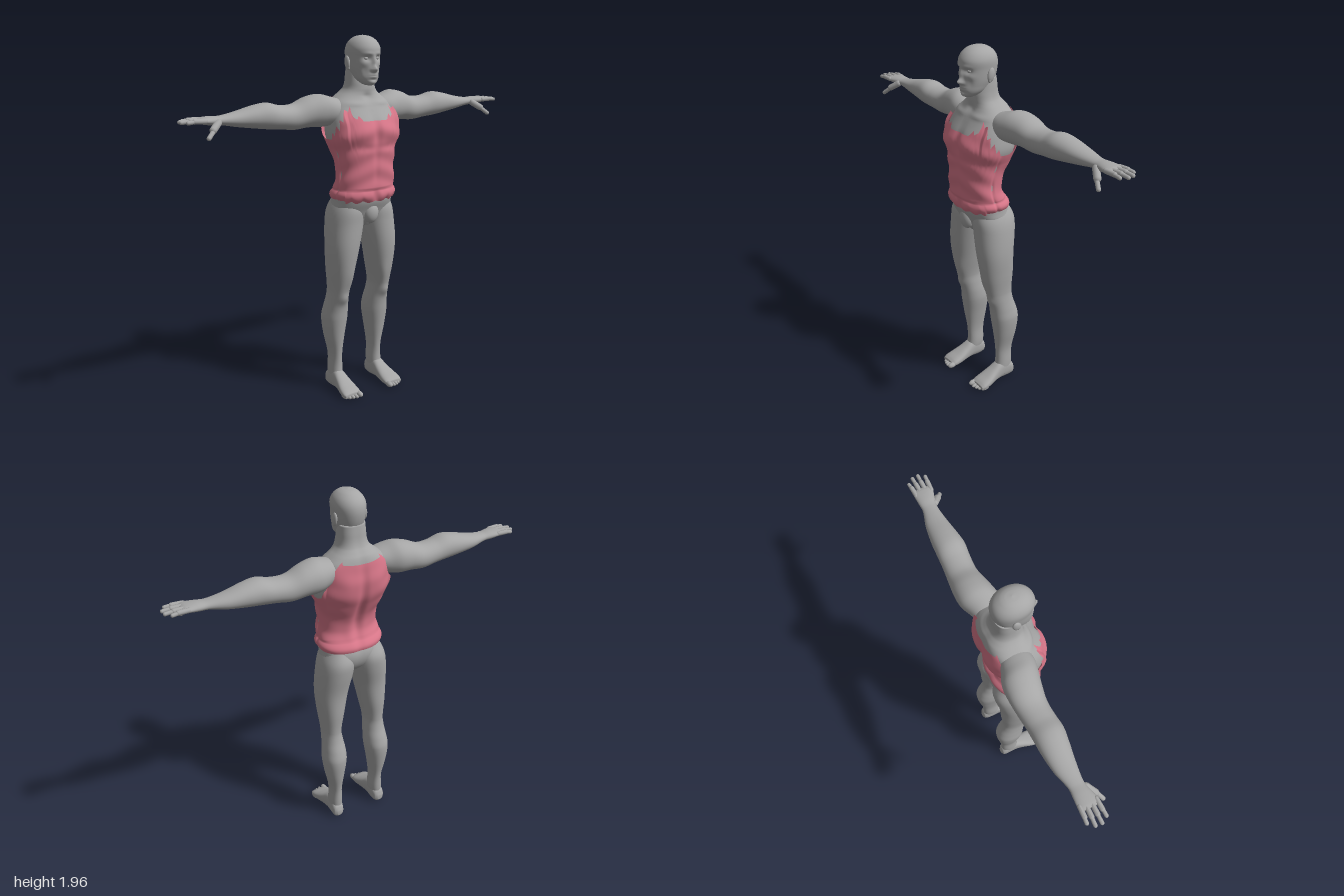
import * as THREE from 'three';

const skin = new THREE.MeshStandardMaterial({ color: 0xa6a6a6 });
skin.name = 'grey skin';
const cloth = new THREE.MeshStandardMaterial({ color: 0xd67688, side: THREE.DoubleSide });
cloth.name = 'pink cloth';

// Smooth cross-section at t; a row is [t, aMin, aMax, bMin, bMax]
function section(rows, t) {
  let i = 0;
  while (i < rows.length - 2 && t > rows[i + 1][0]) i++;
  const A = rows[i], B = rows[i + 1], P = rows[i - 1] || A, N = rows[i + 2] || B;
  const h = B[0] - A[0], u = (t - A[0]) / h, u2 = u * u, u3 = u2 * u;
  return [1, 2, 3, 4].map(k => {
    const m0 = (B[k] - P[k]) / (B[0] - P[0]) * h, m1 = (N[k] - A[k]) / (N[0] - A[0]) * h;
    return (2 * u3 - 3 * u2 + 1) * A[k] + (u3 - 2 * u2 + u) * m0 + (3 * u2 - 2 * u3) * B[k] + (u3 - u2) * m1;
  });
}
const pow = (v, p) => Math.sign(v) * Math.abs(v) ** p;

// Point on a rounded section; axis 0, 1, 2 runs along x, y, z
function surfacePoint({ rows, axis, p = 1, warp }, t, ang) {
  const [a0, a1, b0, b1] = section(rows, t), v = [0, 0, 0];
  v[axis] = t;
  v[(axis + 1) % 3] = (a0 + a1) / 2 + (a1 - a0) / 2 * pow(Math.cos(ang), p);
  v[(axis + 2) % 3] = (b0 + b1) / 2 + (b1 - b0) / 2 * pow(Math.sin(ang), p);
  if (warp) warp(v, ang);
  return v;
}

// Skin a grid of rings, optionally closing both ends
function ringsGeometry(rings, capped = true) {
  const n = rings[0].length, pos = rings.flat(2), idx = [];
  for (let j = 0; j < rings.length - 1; j++) for (let i = 0; i < n; i++) {
    const a = j * n + i, b = j * n + (i + 1) % n;
    idx.push(a, b, a + n, b, b + n, a + n);
  }
  if (capped) [0, rings.length - 1].forEach(j => {
    const c = pos.length / 3;
    for (let k = 0; k < 3; k++) pos.push(rings[j].reduce((s, v) => s + v[k], 0) / n);
    for (let i = 0; i < n; i++) {
      const a = j * n + i, b = j * n + (i + 1) % n;
      if (j) idx.push(a, b, c); else idx.push(b, a, c);
    }
  });
  const g = new THREE.BufferGeometry();
  g.setAttribute('position', new THREE.Float32BufferAttribute(pos, 3));
  g.setIndex(idx);
  g.computeVertexNormals();
  return g;
}
function loft(def, sides = 40, steps = 6) {
  const rings = [], r = def.rows;
  for (let i = 0; i < r.length; i++) for (let s = 0; s < (i < r.length - 1 ? steps : 1); s++) {
    const t = s ? r[i][0] + (r[i + 1][0] - r[i][0]) * s / steps : r[i][0];
    rings.push(Array.from({ length: sides }, (_, k) => surfacePoint(def, t, k / sides * Math.PI * 2)));
  }
  return ringsGeometry(rings);
}
function ellipsoid(c, r, tilt = 0) {
  return new THREE.SphereGeometry(1, 24, 16).scale(...r).rotateX(tilt).translate(...c);
}
function capsule(from, to, r) {
  const a = new THREE.Vector3(...from), b = new THREE.Vector3(...to), d = b.clone().sub(a);
  const g = new THREE.CapsuleGeometry(r, Math.max(d.length() - 2 * r, 0.001), 5, 12);
  g.applyQuaternion(new THREE.Quaternion().setFromUnitVectors(new THREE.Vector3(0, 1, 0), d.clone().normalize()));
  return g.translate(...a.add(b).multiplyScalar(0.5).toArray());
}
function mirrored(g) {
  const m = g.clone().scale(-1, 1, 1), ix = m.index.array;
  for (let i = 0; i < ix.length; i += 3) [ix[i], ix[i + 1]] = [ix[i + 1], ix[i]];
  m.computeVertexNormals();
  return m;
}

// Push z in or out by soft bumps [x, y, radiusX, radiusY, amount], symmetric in x
function bumps(v, list, weight) {
  const [x, y] = v;
  for (const [cx, cy, rx, ry, amt] of list)
    v[2] += weight * amt * Math.exp(-(((Math.abs(x) - cx) / rx) ** 2) - ((y - cy) / ry) ** 2);
}
const symmetric = rows => rows.map(([y, z0, z1, w]) => [y, z0, z1, -w, w]);

const torso = {
  axis: 1, p: 0.84,
  rows: symmetric([
    [0.96, -0.06, 0.06, 0.04], [1.0, -0.1, 0.085, 0.13], [1.05, -0.122, 0.105, 0.17],
    [1.1, -0.122, 0.125, 0.17], [1.16, -0.096, 0.132, 0.168], [1.22, -0.068, 0.135, 0.16],
    [1.3, -0.083, 0.138, 0.158], [1.38, -0.122, 0.142, 0.176], [1.45, -0.147, 0.148, 0.197],
    [1.52, -0.152, 0.135, 0.193], [1.58, -0.147, 0.1, 0.182], [1.62, -0.14, 0.075, 0.162],
    [1.65, -0.13, 0.06, 0.125], [1.67, -0.115, 0.056, 0.1], [1.69, -0.1, 0.056, 0.084],
    [1.72, -0.09, 0.054, 0.076], [1.76, -0.085, 0.045, 0.072], [1.8, -0.08, 0.04, 0.068]]),
  warp(v, ang) {
    const c = Math.cos(ang);
    if (c > 0) bumps(v, [[0.085, 1.47, 0.07, 0.05, 0.01], [0, 1.46, 0.02, 0.1, -0.012], [0, 1.28, 0.015, 0.1, -0.004],
      [0.06, 1.39, 0.07, 0.02, -0.006], [0, 1.645, 0.025, 0.02, -0.01], [0.09, 1.615, 0.06, 0.012, 0.008]], c);
    else bumps(v, [[0, 1.38, 0.022, 0.22, 0.016], [0.09, 1.5, 0.05, 0.07, -0.008], [0.04, 1.24, 0.03, 0.08, -0.006]], -c);
  },
};

const head = {
  axis: 1, p: 0.95,
  rows: symmetric([
    [1.708, 0.05, 0.092, 0.018], [1.718, 0.02, 0.105, 0.038], [1.74, -0.025, 0.113, 0.058],
    [1.77, -0.062, 0.115, 0.069], [1.8, -0.08, 0.115, 0.076], [1.85, -0.092, 0.115, 0.081],
    [1.89, -0.09, 0.118, 0.083], [1.92, -0.076, 0.104, 0.073], [1.943, -0.05, 0.079, 0.053],
    [1.955, -0.023, 0.05, 0.03], [1.96, 0.012, 0.014, 0.001]]),
  warp(v, ang) {
    const c = Math.cos(ang);
    if (c > 0) bumps(v, [[0, 1.83, 0.011, 0.03, 0.012], [0, 1.791, 0.012, 0.015, 0.026], [0.013, 1.787, 0.008, 0.009, 0.008],
      [0.034, 1.845, 0.018, 0.013, -0.014], [0.03, 1.868, 0.026, 0.009, 0.005], [0, 1.757, 0.024, 0.011, 0.007],
      [0, 1.757, 0.022, 0.003, -0.005], [0, 1.737, 0.022, 0.006, -0.004], [0, 1.72, 0.022, 0.012, 0.006],
      [0.045, 1.785, 0.014, 0.025, -0.006], [0.055, 1.818, 0.016, 0.014, 0.005]], c);
  },
};

const arm = {
  axis: 0, p: 0.95,
  rows: [
    [0.1, 1.54, 1.63, -0.1, 0.03], [0.17, 1.505, 1.65, -0.128, 0.045], [0.23, 1.495, 1.665, -0.152, 0.036],
    [0.3, 1.497, 1.653, -0.155, 0.02], [0.38, 1.49, 1.622, -0.147, 0.008], [0.46, 1.5, 1.622, -0.14, 0.01],
    [0.53, 1.506, 1.638, -0.138, 0.015], [0.6, 1.515, 1.63, -0.135, 0.006], [0.7, 1.53, 1.606, -0.122, -0.01],
    [0.79, 1.547, 1.592, -0.098, -0.02], [0.84, 1.55, 1.594, -0.1, -0.01], [0.89, 1.559, 1.591, -0.102, 0.002],
    [0.91, 1.567, 1.585, -0.096, -0.004]],
};

const leg = {
  axis: 1, p: 0.92,
  rows: [
    [0.03, -0.115, 0.005, 0.108, 0.17], [0.1, -0.12, -0.015, 0.098, 0.171], [0.2, -0.122, -0.015, 0.101, 0.168],
    [0.32, -0.142, 0, 0.086, 0.192], [0.42, -0.15, 0.014, 0.071, 0.204], [0.48, -0.136, 0.021, 0.072, 0.198],
    [0.54, -0.115, 0.032, 0.079, 0.191], [0.6, -0.105, 0.05, 0.083, 0.188], [0.72, -0.112, 0.08, 0.06, 0.2],
    [0.85, -0.115, 0.097, 0.032, 0.208], [0.98, -0.134, 0.1, 0.005, 0.198], [1.05, -0.134, 0.1, 0.002, 0.183],
    [1.12, -0.1, 0.08, 0.02, 0.15]],
  warp(v, ang) {
    if (Math.cos(ang) > 0) bumps(v, [[0.138, 0.55, 0.03, 0.03, 0.012], [0.1, 0.66, 0.03, 0.06, 0.008]], Math.cos(ang));
  },
};

const foot = {
  axis: 2, p: 0.8,
  rows: [
    [-0.132, 0.125, 0.15, 0.02, 0.05], [-0.12, 0.108, 0.168, 0.006, 0.08], [-0.08, 0.1, 0.172, 0, 0.11],
    [-0.03, 0.1, 0.173, 0.003, 0.112], [0.02, 0.094, 0.182, 0.004, 0.085], [0.07, 0.088, 0.194, 0, 0.06],
    [0.11, 0.088, 0.197, 0, 0.043], [0.13, 0.094, 0.19, 0.006, 0.03]],
};

// Torn top edge of the vest: [degrees from front, height]
const tornEdge = [[0, 1.53], [18, 1.53], [24, 1.56], [28, 1.54], [34, 1.555], [38, 1.605], [42, 1.575], [46, 1.59],
  [52, 1.53], [58, 1.54], [62, 1.485], [68, 1.51], [74, 1.455], [78, 1.475], [84, 1.435], [100, 1.435],
  [112, 1.45], [122, 1.52], [130, 1.6], [136, 1.645], [142, 1.63], [180, 1.622]];
function edgeHeight(deg) {
  const i = Math.max(1, tornEdge.findIndex(e => e[0] >= deg)), [d0, h0] = tornEdge[i - 1], [d1, h1] = tornEdge[i];
  return h0 + (h1 - h0) * (deg - d0) / (d1 - d0);
}
// Vest follows the torso, with a rolled hem, side seams and a ragged lower edge
function vestGeometry() {
  const rings = [], sides = 180, hem = 10, upper = 44, hemTop = 1.165;
  for (let j = 0; j <= hem + upper; j++) rings.push(Array.from({ length: sides }, (_, k) => {
    const deg = Math.min(k, sides - k) * 2, ang = k / sides * Math.PI * 2;
    const low = 1.112 - (deg < 60 ? 0.014 * Math.abs(Math.sin(deg * 0.13 + 0.4)) : 0);
    const y = j <= hem ? low + (hemTop - low) * j / hem : hemTop + (edgeHeight(deg) - hemTop) * (j - hem) / upper;
    const v = surfacePoint(torso, y, ang);
    let off = 0.008 - 0.007 * Math.exp(-(((deg - 86) / 3) ** 2));
    if (j <= hem) off += 0.012 * Math.sin(Math.PI * j / hem) * (1 - Math.exp(-((deg / 4) ** 2))) - 0.003;
    else off += 0.003 * Math.sin(y * 60 + deg * 0.06) * (deg < 90 ? 1 : 0.4);
    if (deg > 45 && deg < 120) off += 0.01 * Math.max(0, (y - 1.38) / 0.12);
    const len = Math.hypot(v[0], v[2]);
    return [v[0] * (1 + off / len), y, v[2] * (1 + off / len)];
  }));
  return ringsGeometry(rings, false);
}

export function createModel() {
  const model = new THREE.Group();
  model.name = 'standing man';
  const add = (name, g, material = skin) => {
    const m = new THREE.Mesh(g, material);
    m.name = name;
    model.add(m);
  };
  const pair = (name, g) => { add('left ' + name, g); add('right ' + name, mirrored(g)); };

  add('torso and neck', loft(torso, 72, 5));
  add('head', loft(head, 96, 8));
  add('pelvis front', ellipsoid([0, 1.035, 0.088], [0.045, 0.06, 0.036]));
  add('torn vest', vestGeometry(), cloth);

  pair('eye', ellipsoid([0.033, 1.845, 0.088], [0.014, 0.01, 0.013]));
  pair('ear', ellipsoid([0.084, 1.822, -0.004], [0.011, 0.036, 0.021], -0.2));
  pair('ear lobe', ellipsoid([0.083, 1.795, 0.004], [0.008, 0.012, 0.01]));

  pair('arm', loft(arm));
  // Fingers, each in two tapering joints: [base z, tip z, tip x]
  [[-0.09, -0.098, 0.972], [-0.063, -0.068, 0.997], [-0.036, -0.036, 1.0], [-0.009, -0.003, 0.98]].forEach(([z0, z1, x], i) => {
    const mid = (x + 0.88) / 2 + 0.01, zm = (z0 + z1) / 2;
    pair('finger ' + (i + 1), capsule([0.87, 1.576, z0], [mid + 0.01, 1.578, zm], 0.0125));
    pair('fingertip ' + (i + 1), capsule([mid - 0.015, 1.578, zm], [x, 1.573, z1], 0.0098));
  });
  pair('thumb base', capsule([0.8, 1.572, -0.03], [0.865, 1.525, 0.018], 0.018));
  pair('thumb', capsule([0.84, 1.542, 0.005], [0.895, 1.494, 0.038], 0.0115));

  pair('leg', loft(leg));
  pair('foot', loft(foot));
  // Toes, from the big toe outward
  [0.104, 0.129, 0.149, 0.168, 0.185].forEach((x, i) => {
    const r = i ? 0.0115 - i * 0.0004 : 0.016;
    pair('toe ' + (i + 1), ellipsoid([x, r, 0.132 - i * i * 0.0018], [r, r, 0.027]));
  });
  return model;
}
